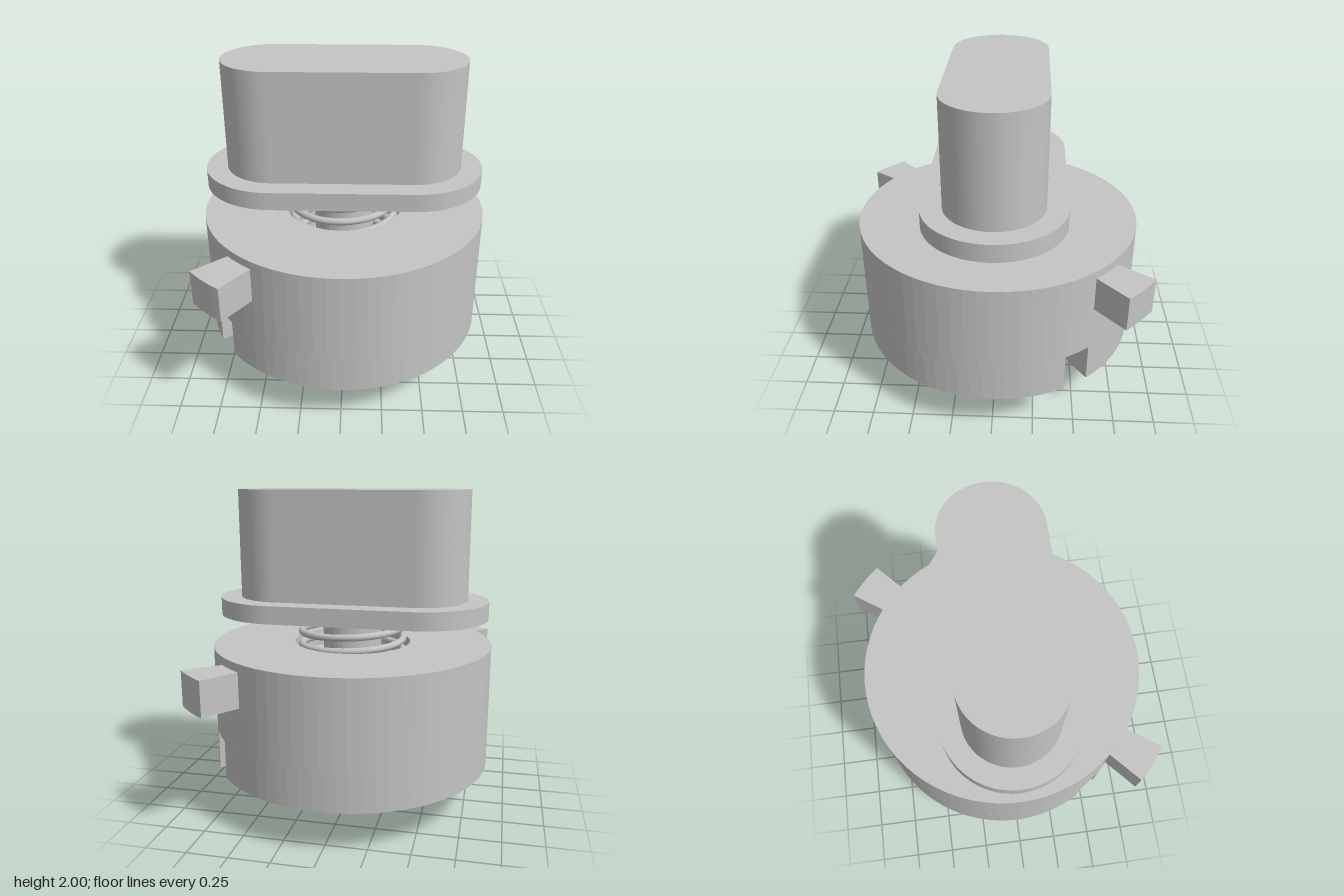
import * as THREE from 'three';

const DEG = Math.PI / 180;
const polar = (r, deg) => new THREE.Vector2(r * Math.cos(deg * DEG), r * Math.sin(deg * DEG));

// Flat plan shape raised from y0 to y1 (shape y points to -z)
function slab(shape, y0, y1, curveSegments = 32) {
  const g = new THREE.ExtrudeGeometry(shape, { depth: y1 - y0, bevelEnabled: false, curveSegments });
  g.rotateX(-Math.PI / 2);
  g.translate(0, y0, 0);
  return g;
}

// Rounded bar with half circles at both ends
function stadium(half, r) {
  const s = new THREE.Shape();
  s.absarc(half, 0, r, -Math.PI / 2, Math.PI / 2, false);
  s.absarc(-half, 0, r, Math.PI / 2, Math.PI * 1.5, false);
  s.closePath();
  return s;
}

function disc(r, holeR = 0) {
  const s = new THREE.Shape();
  s.absarc(0, 0, r, 0, Math.PI * 2, false);
  if (holeR) {
    const h = new THREE.Path();
    h.absarc(0, 0, holeR, 0, Math.PI * 2, true);
    s.holes.push(h);
  }
  return s;
}

// Edge of the socket: two crossed squares plus two round pockets per half
function socketRadius(deg) {
  const square = (a) => 0.38 / Math.max(Math.abs(Math.cos(a * DEG)), Math.abs(Math.sin(a * DEG)));
  let r = Math.max(square(deg), square(deg + 45));
  for (const c of [112.5, 157.5]) {
    const d = (deg - c) * DEG;
    const side = 0.5 * Math.sin(d);
    if (Math.cos(d) > 0 && Math.abs(side) < 0.085) {
      r = Math.max(r, 0.5 * Math.cos(d) + Math.sqrt(0.085 ** 2 - side ** 2));
    }
  }
  return r;
}

// Half of the lower body, between the two side slots
function lowerHalf() {
  const pts = [];
  const a0 = 34.8 + 5.54, a1 = 214.8 - 5.54, n = 36;
  for (let i = 0; i <= n; i++) pts.push(polar(0.88, a0 + (a1 - a0) * i / n));
  for (let a = 202.5; a >= 43.5; a -= 1.5) pts.push(polar(socketRadius(a), a));
  return new THREE.Shape(pts);
}

// Piece of a ring, for the side lugs
function sector(r0, r1, a0, a1) {
  const s = new THREE.Shape();
  s.absarc(0, 0, r1, a0 * DEG, a1 * DEG, false);
  s.absarc(0, 0, r0, a1 * DEG, a0 * DEG, true);
  s.closePath();
  return s;
}

class Helix extends THREE.Curve {
  constructor(radius, top, pitch, turns) {
    super();
    Object.assign(this, { radius, top, pitch, turns });
  }
  getPoint(t, target = new THREE.Vector3()) {
    const back = (1 - t) * this.turns;
    const a = back * Math.PI * 2;
    return target.set(this.radius * Math.cos(a), this.top - back * this.pitch, this.radius * Math.sin(a));
  }
}

export function createModel() {
  const group = new THREE.Group();
  const grey = new THREE.MeshStandardMaterial({ color: 0xc4c4c4 });
  grey.name = 'light grey';
  const add = (name, geometry, parent = group) => {
    const m = new THREE.Mesh(geometry, grey);
    m.name = name;
    parent.add(m);
    return m;
  };

  // Round body: slotted socket below, solid web, spring well above
  const body = new THREE.Group();
  body.name = 'body';
  group.add(body);
  for (const turn of [0, Math.PI]) {
    add('lowerBodyHalf', slab(lowerHalf(), 0.275, 0.515), body).rotation.y = turn;
    add('sideLug', slab(sector(0.8, 1.126, 41.8, 54.8), 0.785, 1.0, 6), body).rotation.y = turn;
  }
  add('bodyWeb', slab(disc(0.88), 0.515, 0.62, 36), body);
  add('springWell', slab(disc(0.88, 0.37), 0.62, 1.05, 36), body);

  // Switch block and its two pins
  const block = new THREE.BoxGeometry(0.725, 0.385, 0.725);
  block.translate(0, 0.3225, 0);
  add('switchBlock', block);
  for (const x of [-0.24, 0.24]) {
    const pin = new THREE.BoxGeometry(0.075, 0.14, 0.08);
    pin.translate(x, 0.07, 0);
    add('pin', pin);
  }

  // Stem and return spring
  add('stem', slab(disc(0.187), 0.62, 1.23, 20));
  add('spring', new THREE.TubeGeometry(new Helix(0.325, 1.198, 0.085, 6.5), 320, 0.022, 10, false));
  const cap = new THREE.CircleGeometry(0.022, 10);
  cap.translate(0.325, 1.198, 0);
  add('springEnd', cap).rotation.set(0, Math.PI, 0);
  group.children[group.children.length - 1].position.set(0.65, 0, 0);

  // Push knob with its flange
  add('knobFlange', slab(stadium(0.425, 0.43), 1.22, 1.33, 24));
  add('knob', slab(stadium(0.425, 0.3), 1.33, 2, 24));
  return group;
}
